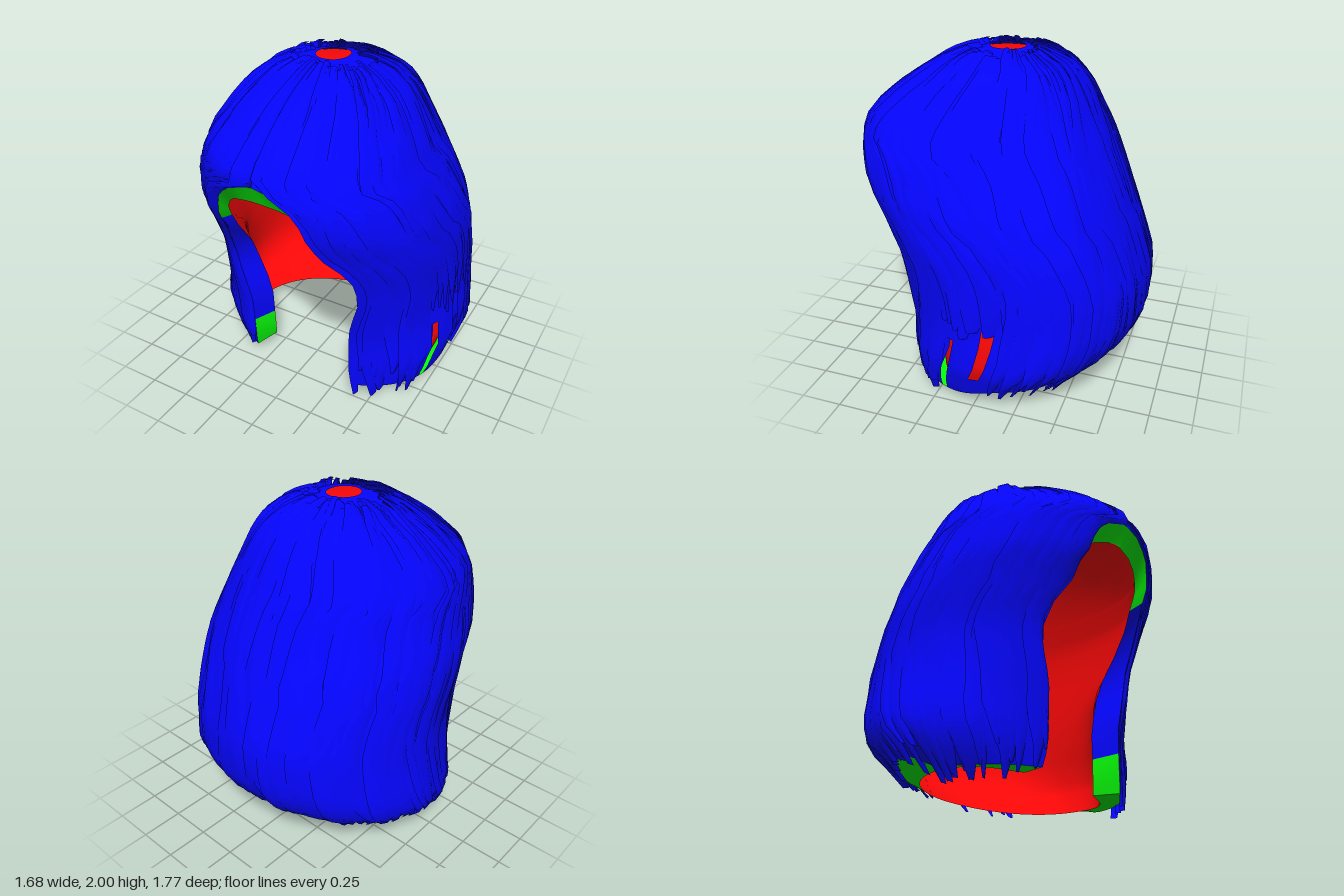
import * as THREE from 'three';

// Piecewise-linear lookup in a list of [key, value] pairs
function curve(pts) {
  return (k) => {
    if (k <= pts[0][0]) return pts[0][1];
    for (let i = 1; i < pts.length; i++) {
      const [a, va] = pts[i - 1], [b, vb] = pts[i];
      if (k <= b) return va + (vb - va) * (k - a) / (b - a);
    }
    return pts[pts.length - 1][1];
  };
}

// Silhouettes by height: half width, front depth, back depth, face opening half width
const width = curve([[0, .6], [.05, .64], [.1, .69], [.2, .77], [.3, .82], [.45, .8], [.6, .775], [.8, .765], [1, .765],
  [1.2, .75], [1.3, .72], [1.46, .675], [1.63, .595], [1.75, .51], [1.83, .445], [1.93, .315], [1.97, .21], [2, .06]]);
const leftExtra = curve([[0, .13], [.1, .09], [.2, .04], [.35, .01], [.6, .02], [1, .025], [1.3, .02], [1.6, 0]]);
const front = curve([[0, .55], [.4, .565], [.6, .61], [.85, .66], [1.1, .775], [1.25, .86], [1.4, .885], [1.5, .88],
  [1.6, .84], [1.75, .655], [1.88, .46], [1.93, .365], [1.97, .25], [2, .1]]);
const back = curve([[0, .5], [.1, .56], [.2, .65], [.3, .77], [.4, .83], [.5, .865], [.73, .865], [1.03, .77], [1.24, .695],
  [1.55, .57], [1.75, .465], [1.85, .39], [1.91, .32], [1.97, .17], [2, .04]]);
const opening = curve([[0, .37], [.2, .345], [.48, .35], [.6, .38], [.75, .425], [.92, .42], [1.1, .345],
  [1.25, .295], [1.32, .28], [1.4, .245], [1.45, .2], [1.5, .11], [1.52, 0]]);
const innerHeight = curve([[0, .05], [.1, .09], [1, .98], [1.25, 1.22], [1.32, 1.26], [1.45, 1.35], [1.52, 1.395], [2, 1.95]]);

// Right half is rounder in plan than the left
const power = (side) => side > 0 ? .88 : 1.04;
const halfWidth = (y, side) => width(y) + (side > 0 ? leftExtra(y) : 0);

// Hair thickness: the locks beside the face are thicker than the rest
function inset(u, row) {
  const lock = 1 - THREE.MathUtils.smoothstep(.5 - Math.abs(u - .5), 0, .16);
  return -.085 - .09 * lock * (1 - THREE.MathUtils.smoothstep(row, .6, 1.15));
}

function edgeAngle(row, side, w, inner) {
  let x = opening(row) + (row < 1.1 ? side * .03 : 0);
  if (inner && row < .6) x -= side > 0 ? .02 : .05;
  return Math.asin(Math.pow(Math.max(0, Math.min(1, x / w)), 1 / power(side)));
}

// The hem rises towards the back
function hemRise(u) {
  return .1 * THREE.MathUtils.smoothstep(.5 - Math.abs(u - .5), .17, .26);
}

// Point on the hair: u runs from the left face edge round the back to the right
// face edge, row is the height, off moves it outwards
function surface(u, row, off = 0, inner = false) {
  let y = inner ? innerHeight(row) : row + hemRise(u) * Math.max(0, 1 - row / .5);
  const w = (side) => Math.max(.001, halfWidth(y, side) + off);
  const left = edgeAngle(row, 1, w(1), inner), right = edgeAngle(row, -1, w(-1), inner);
  const a = left + (Math.PI * 2 - left - right) * u;
  const s = Math.sin(a), c = Math.cos(a), p = power(s);
  const d = Math.max(0, (front(y) + back(y)) / 2 + off);
  const x = w(s) * Math.sign(s) * Math.pow(Math.abs(s), p);
  const z = (front(y) - back(y)) / 2 + d * Math.sign(c) * Math.pow(Math.abs(c), p);
  if (!inner) y += off * THREE.MathUtils.smoothstep(y, 1.4, 2);
  return [x, THREE.MathUtils.clamp(y, 0, 2), z];
}

// Sheet of quads from a point rule; skip leaves holes
function sheet(rows, cols, point, skip = () => false) {
  const pos = [], index = [];
  for (let i = 0; i <= rows; i++) for (let j = 0; j <= cols; j++) pos.push(...point(i, j));
  for (let i = 0; i < rows; i++) for (let j = 0; j < cols; j++) {
    if (skip(i, j)) continue;
    const a = i * (cols + 1) + j, b = a + cols + 1;
    index.push(a, b, a + 1, b, b + 1, a + 1);
  }
  const g = new THREE.BufferGeometry();
  g.setAttribute('position', new THREE.Float32BufferAttribute(pos, 3));
  g.setIndex(index);
  g.computeVertexNormals();
  return g;
}

export function createModel() {
  const group = new THREE.Group();
  const paint = (color) => new THREE.MeshStandardMaterial({ color, side: THREE.DoubleSide });
  const blue = paint(0x0505ff), red = paint(0xff0808), green = paint(0x08ff08);
  const add = (name, geometry, material, parent = group) => {
    const m = new THREE.Mesh(geometry, material);
    m.name = name;
    parent.add(m);
  };
  let seed = 7;
  const rand = () => (seed = (seed * 16807) % 2147483647) / 2147483647;

  const rows = [.07, .14, .22, .3, .45, .58, .7, .82, .95, 1.08, 1.18, 1.25, 1.32, 1.4, 1.45, 1.5, 1.52,
    1.6, 1.68, 1.76, 1.83, 1.89, 1.93, 1.97, 1.99];
  const n = rows.length - 1, cols = 72, apex = rows.indexOf(1.52);

  // Outer hair, with narrow slits on the left side and a small open crown
  add('hairBase', sheet(n, cols, (i, j) => surface(j / cols, rows[i], -.014),
    (i, j) => (j === 14 && i >= 2 && i < 5) || (j === 10 && i < 4)), blue);

  // Lining inside the hair, closed at the crown
  add('lining', sheet(n + 1, cols, (i, j) => i > n ? surface(j / cols, 2, -1, true)
    : surface(j / cols, rows[i], inset(j / cols, rows[i]), true)), red);

  // Rim along the hem and round the face; hair wraps over it beside the cheeks
  const rim = new THREE.Group();
  rim.name = 'rim';
  group.add(rim);
  const across = (k, u, row) => k ? surface(u, row, inset(u, row), true) : surface(u, row, -.014);
  add('hemRim', sheet(1, cols, (k, j) => across(k, j / cols, rows[0])), green, rim);
  const cheekLow = rows.indexOf(.3), cheekHigh = rows.indexOf(1.18);
  for (const [u, side] of [[0, 'left'], [1, 'right']]) {
    const strip = (from, to) => sheet(1, to - from, (k, i) => across(k, u, rows[from + i]));
    add(side + 'LowerRim', strip(0, cheekLow), green, rim);
    add(side + 'CheekHair', strip(cheekLow, cheekHigh), blue, rim);
    add(side + 'BrowRim', strip(cheekHigh, apex), green, rim);
  }

  // Broad overlapping strands from crown to hem, wavy, with pointed, uneven tips
  const strands = new THREE.Group();
  strands.name = 'strands';
  group.add(strands);
  const count = 40, steps = 26;
  for (let layer = 0; layer < 2; layer++) {
    for (let s = 0; s < count; s++) {
      const u0 = (s + .5 * layer + rand() * .5) / count;
      const half = .012 + rand() * .01, lift = .004 + rand() * .014;
      const sway = (rand() - .5) * .025, phase = rand() * 6;
      const start = 1.95 + rand() * .035;
      const slit = Math.abs(u0 - .2) < .03 || Math.abs(u0 - .145) < .02;
      const end = slit ? .48 + rand() * .1 : layer ? .02 + rand() * .2 : rand() * .1 - .04;
      add('strand', sheet(steps, 2, (i, j) => {
        const t = i / steps;
        const row = start + (end - start) * Math.pow(t, 1.5);
        const taper = Math.min(1, .25 + (1 - t) * 8);
        const u = u0 + sway * Math.sin(t * 5 + phase) + (j - 1) * half * taper;
        const wave = .006 * Math.sin(t * 14 + phase);
        return surface(THREE.MathUtils.clamp(u, 0, 1), row, wave + (j === 1 ? lift : j ? -.018 : lift * .8));
      }), blue, strands);
    }
  }
  return group;
}
